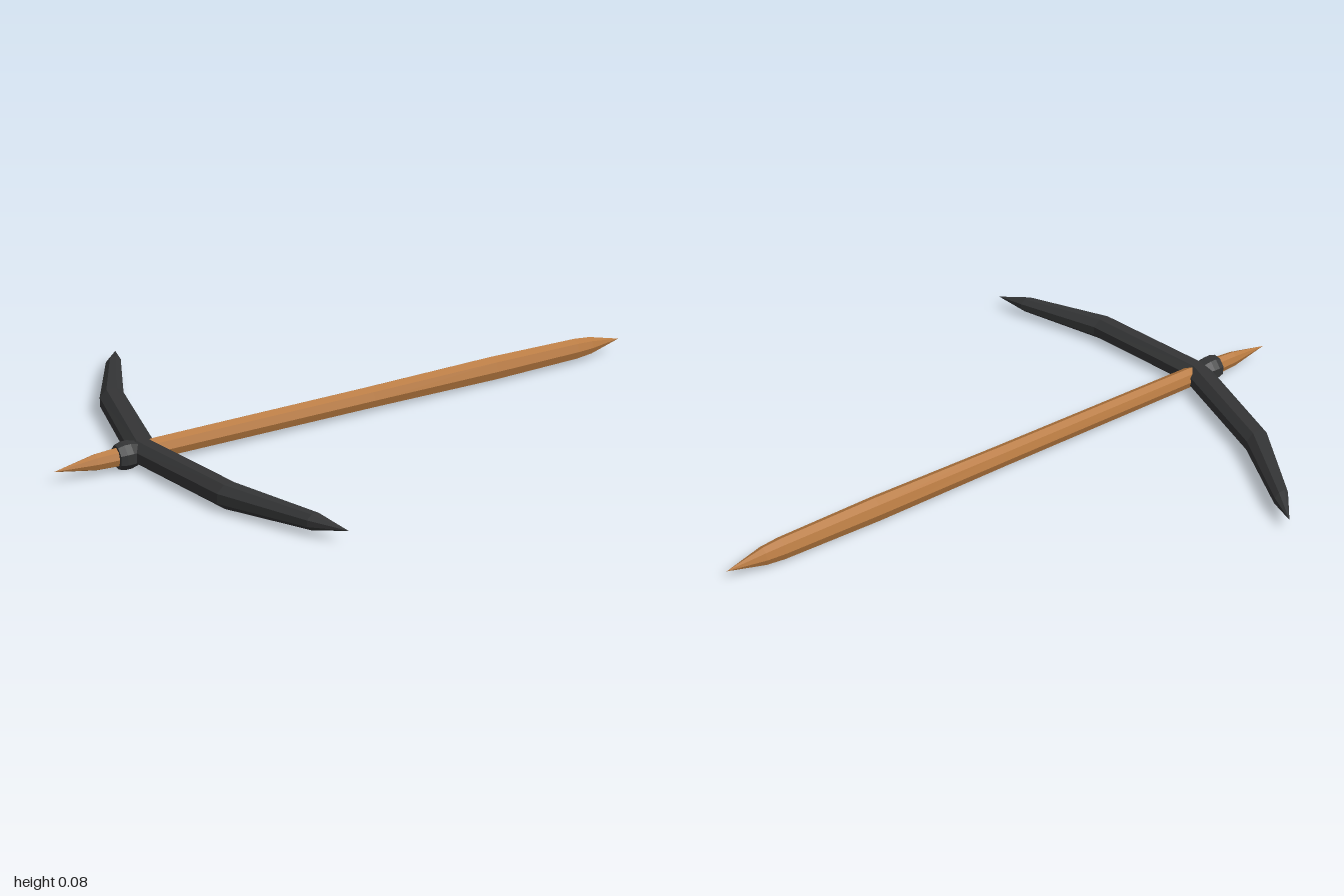
import * as THREE from 'three';

const CENTRE_Y = 0.048;

// Faceted loft along z. Each station is [z, centreX, halfWidthX, halfHeightY].
function loft(stations, sides, phase) {
  const point = ([z, cx, hx, hy], j) => {
    const a = phase + (j / sides) * Math.PI * 2;
    const k = 1 / Math.cos(phase);
    return [cx + Math.cos(a) * hx * k, Math.sin(a) * hy * k, z];
  };
  const pos = [];
  for (let i = 0; i < stations.length - 1; i++) {
    const s = stations[i], t = stations[i + 1];
    for (let j = 0; j < sides; j++) {
      const a = point(s, j), b = point(s, j + 1), c = point(t, j), d = point(t, j + 1);
      if (s[3] > 0) pos.push(...a, ...b, ...c);
      if (t[3] > 0) pos.push(...b, ...d, ...c);
    }
  }
  const geometry = new THREE.BufferGeometry();
  geometry.setAttribute('position', new THREE.Float32BufferAttribute(pos, 3));
  geometry.computeVertexNormals();
  return geometry;
}

export function createModel() {
  const wood = new THREE.MeshStandardMaterial({ name: 'wood', color: 0xb87a40 });
  const iron = new THREE.MeshStandardMaterial({ name: 'dark iron', color: 0x343536 });
  const group = new THREE.Group();
  group.name = 'pickaxe';

  const add = (name, geometry, material) => {
    const mesh = new THREE.Mesh(geometry, material);
    mesh.name = name;
    mesh.position.y = CENTRE_Y;
    group.add(mesh);
    return mesh;
  };

  // Wooden shaft, pointed at both ends and swelling towards the grip
  const handle = add('handle', loft([
    [-1, 0, 0, 0],
    [-0.87, 0, 0.021, 0.026],
    [-0.8, 0, 0.025, 0.03],
    [-0.68, 0, 0.029, 0.034],
    [0.05, 0, 0.031, 0.036],
    [0.5, 0, 0.034, 0.041],
    [0.82, 0, 0.03, 0.036],
    [0.88, 0, 0.025, 0.03],
    [1, 0, 0, 0],
  ], 8, 0), wood);
  handle.rotation.y = Math.PI / 2;

  // Curved iron head, mirrored about its middle
  const arm = [
    [0.39, -0.64, 0.04, 0.037],
    [0.65, -0.515, 0.026, 0.024],
    [0.745, -0.465, 0, 0],
  ];
  const mirrored = arm.map(([z, ...rest]) => [-z, ...rest]).reverse();
  add('pickHead', loft([...mirrored, [0, -0.722, 0.042, 0.037], ...arm], 8, Math.PI / 8), iron);

  // Collar holding the head on the shaft
  const collar = add('collar', loft([
    [-0.805, 0, 0, 0],
    [-0.804, 0, 0.033, 0.034],
    [-0.785, 0, 0.038, 0.039],
    [-0.765, 0, 0.038, 0.039],
    [-0.74, 0, 0.032, 0.033],
    [-0.739, 0, 0, 0],
  ], 8, Math.PI / 8), iron);
  collar.rotation.y = Math.PI / 2;

  return group;
}
